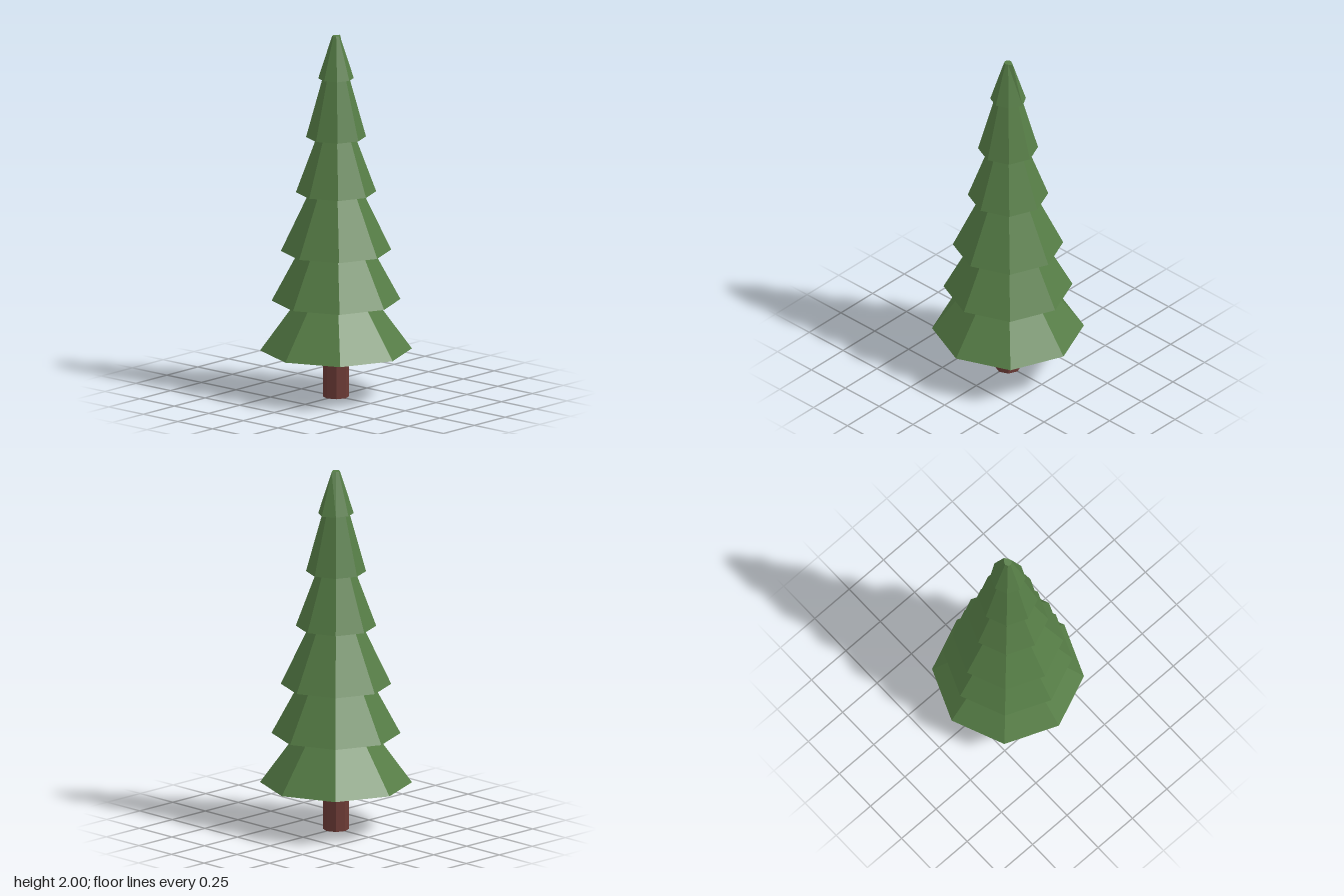
import * as THREE from 'three';

const SIDES = 8;

// Each tier: [rim height, rim radius, neck radius under the next tier, underside bulge]
const TIERS = [
  [0.26, 0.41, 0.215, 0.009],
  [0.535, 0.348, 0.2, 0.007],
  [0.81, 0.298, 0.147, 0],
  [1.135, 0.217, 0.104, 0.007],
  [1.44, 0.162, 0.074, 0],
  [1.765, 0.096, 0.021, 0.005],
];
const TOP = 2;

function createFoliage(material) {
  // One stepped profile from the underside up to the blunt tip
  const points = [new THREE.Vector2(0, TIERS[0][0] - TIERS[0][3])];
  TIERS.forEach(([y, rim, neck, bulge], i) => {
    const next = TIERS[i + 1];
    const neckY = next ? next[0] - next[3] : TOP;
    if (bulge) points.push(new THREE.Vector2(rim * 0.72, y - bulge));
    points.push(new THREE.Vector2(rim, y), new THREE.Vector2(neck, neckY));
  });
  points.push(new THREE.Vector2(0, TOP));
  const geometry = new THREE.LatheGeometry(points, SIDES);

  // The topmost tier leans out slightly at its left corner
  const pos = geometry.attributes.position;
  for (let i = 0; i < pos.count; i++) {
    const x = pos.getX(i);
    if (pos.getY(i) > 1.762 && x > 0.01 && Math.abs(pos.getZ(i)) < 1e-4) pos.setX(i, x + 0.012);
  }
  geometry.computeVertexNormals();

  const foliage = new THREE.Mesh(geometry, material);
  foliage.name = 'foliage';
  return foliage;
}

export function createModel() {
  const tree = new THREE.Group();
  tree.name = 'pineTree';

  const green = new THREE.MeshStandardMaterial({ color: 0x567d46, flatShading: true });
  const brown = new THREE.MeshStandardMaterial({ color: 0x6b3a35, flatShading: true });

  // Trunk, ending at the underside of the lowest tier
  const height = 0.255;
  const trunk = new THREE.Mesh(new THREE.CylinderGeometry(0.071, 0.071, height, SIDES), brown);
  trunk.position.y = height / 2;
  trunk.name = 'trunk';

  tree.add(trunk, createFoliage(green));
  return tree;
}
